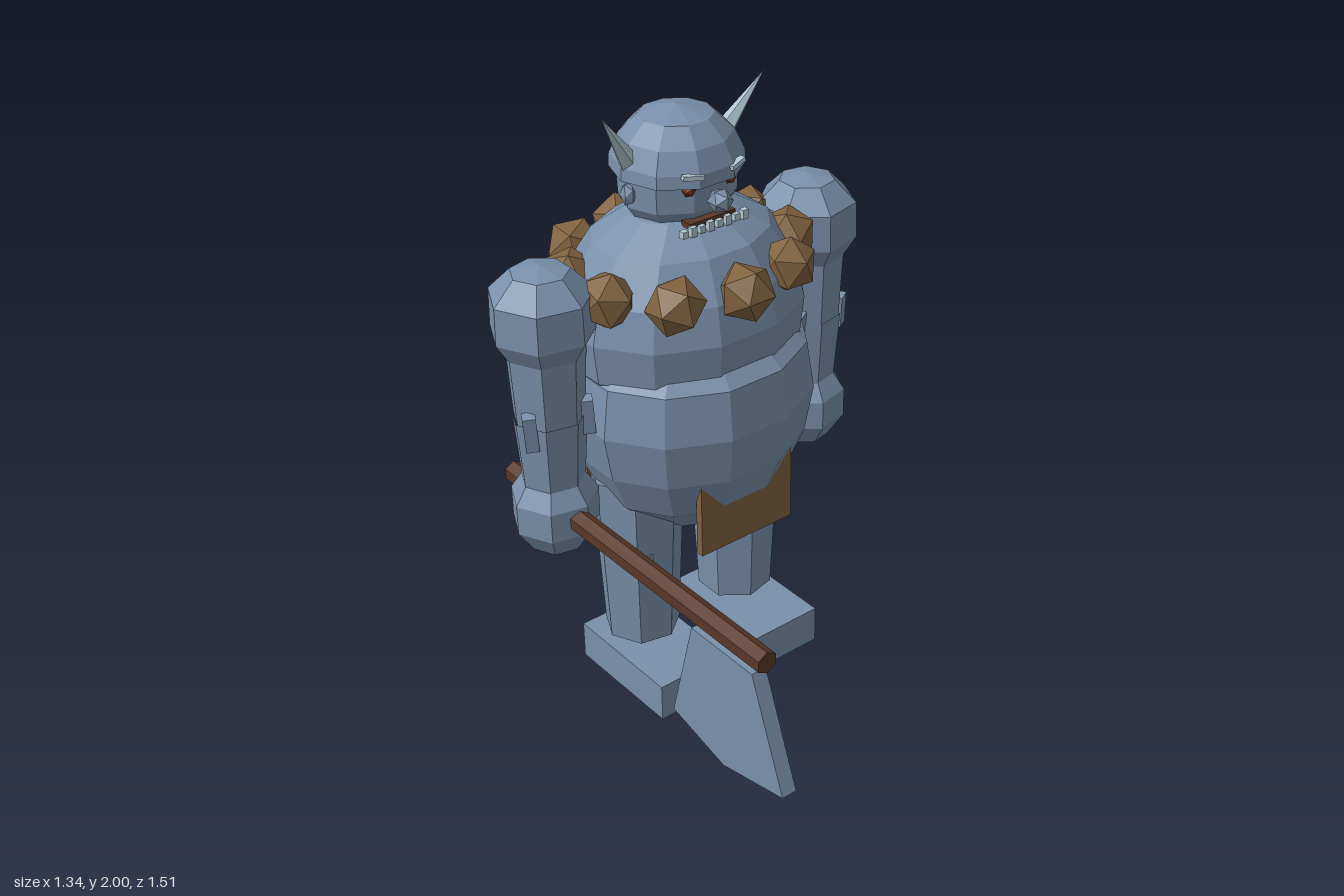
import * as THREE from 'three';

const mat = (name, color) => {
  const m = new THREE.MeshStandardMaterial({ color, flatShading: true });
  m.name = name;
  return m;
};

export function createModel() {
  const root = new THREE.Group();
  root.name = 'hornedBrute';
  const skin = mat('slate blue', 0x7990ab);
  const hide = mat('tan brown', 0x80623f);
  const wood = mat('dark brown', 0x5a3828);
  const bone = mat('pale bone', 0xb2c9d2);
  const red = mat('eye red', 0x7a3218);

  const add = (name, geo, material, x = 0, y = 0, z = 0, parent = root) => {
    const m = new THREE.Mesh(geo, material);
    m.name = name;
    m.position.set(x, y, z);
    parent.add(m);
    return m;
  };
  // Faceted round form from a radius/height profile, squashed in z
  const turned = (name, pts, sides, z, depth) => {
    const geo = new THREE.LatheGeometry(pts.map(p => new THREE.Vector2(...p)), sides);
    geo.rotateY(Math.PI / sides);
    geo.scale(1, 1, depth);
    return add(name, geo, skin, 0, 0, z);
  };
  const box = (w, h, d) => new THREE.BoxGeometry(w, h, d);

  // Torso: two overlapping bulges
  turned('belly', [[0, 0.565], [0.17, 0.6], [0.32, 0.73], [0.385, 0.87], [0.415, 1.03],
    [0.39, 1.19], [0.28, 1.28]], 12, -0.325, 0.85);
  turned('chest', [[0.34, 1.12], [0.395, 1.2], [0.41, 1.33], [0.38, 1.45], [0.295, 1.57],
    [0.17, 1.645], [0, 1.67]], 12, -0.36, 0.82);

  // Head and rounded cap
  turned('face', [[0, 1.62], [0.15, 1.63], [0.185, 1.68], [0.19, 1.79]], 10, -0.37, 0.88);
  turned('cap', [[0.17, 1.765], [0.205, 1.77], [0.202, 1.81], [0.172, 1.875], [0.115, 1.93], [0, 1.96]], 10, -0.37, 0.98);
  const nose = add('nose', new THREE.IcosahedronGeometry(0.038, 0), skin, 0, 1.72, -0.168);
  nose.scale.z = 1.1;
  add('mouth', box(0.17, 0.018, 0.04), wood, 0, 1.648, -0.222);
  for (let i = 0; i < 8; i++) {
    add('tooth', box(0.02, 0.022 + 0.008 * (i % 2), 0.02), bone, -0.112 + i * 0.032, 1.636, -0.197);
  }

  // Necklace of ten chunky beads
  for (let i = 0; i < 10; i++) {
    const a = Math.PI / 2 + i * Math.PI / 5;
    const bead = add('necklaceBead', new THREE.IcosahedronGeometry(0.093, 0), hide,
      0.36 * Math.cos(a), 1.47, -0.365 + 0.312 * Math.sin(a));
    bead.rotation.set(i * 0.7, -a, i * 0.4);
  }

  // Mirrored parts
  for (const s of [1, -1]) {
    const side = s > 0 ? 'left' : 'right';

    const base = new THREE.Vector3(s * 0.17, 1.815, -0.372);
    const tip = new THREE.Vector3(s * 0.295, 2.0, -0.325);
    const dir = tip.clone().sub(base);
    const horn = add(side + 'Horn', new THREE.ConeGeometry(0.034, dir.length(), 5), bone);
    horn.position.copy(base).lerp(tip, 0.5);
    horn.quaternion.setFromUnitVectors(new THREE.Vector3(0, 1, 0), dir.normalize());

    const ear = add(side + 'Ear', new THREE.IcosahedronGeometry(0.035, 0), skin, s * 0.188, 1.728, -0.36);
    ear.scale.set(0.7, 1.1, 0.8);
    add(side + 'Eye', new THREE.IcosahedronGeometry(0.021, 0), red, s * 0.075, 1.756, -0.218);
    const brow = add(side + 'Brow', box(0.065, 0.014, 0.02), bone, s * 0.08, 1.808, -0.19);
    brow.rotation.set(0, s * 0.3, s * 0.12);

    // Arm: shoulder ball, tapered limb, fist
    const arm = new THREE.Group();
    arm.name = side + 'Arm';
    arm.position.set(s * 0.505, 0, -0.365);
    root.add(arm);
    const ball = (name, y, pts) => {
      const g = new THREE.LatheGeometry(pts.map(p => new THREE.Vector2(...p)), 7);
      g.rotateY(s * Math.PI / 2);
      return add(name, g, skin, 0, y, 0, arm);
    };
    ball('shoulder', 1.44, [[0, -0.14], [0.115, -0.13], [0.163, -0.05], [0.16, 0.07], [0.09, 0.14], [0, 0.158]]);
    ball('upperArm', 1.1, [[0.112, 0], [0.125, 0.26]]);
    ball('forearm', 0.85, [[0.098, 0], [0.118, 0.26]]);
    ball('fist', 0.775, [[0, -0.15], [0.085, -0.13], [0.138, -0.05], [0.138, 0.05], [0.095, 0.115], [0, 0.14]]);
    for (const [x, z] of [[0.1, 0.05], [-0.09, 0.07], [0, -0.11]]) {
      const fold = add('elbowFold', box(0.04, 0.12, 0.04), skin, s * x, 1.1, z, arm);
      fold.rotation.set(0.1, s * 0.5, 0.1);
    }

    // Leg and separate block foot
    const leg = add(side + 'Leg', new THREE.CylinderGeometry(0.155, 0.125, 0.61, 7), skin, s * 0.197, 0.483, -0.36);
    leg.rotation.y = s * Math.PI / 2;
    const fold = add(side + 'LegFold', box(0.025, 0.09, 0.03), skin, s * 0.25, 0.49, -0.248);
    fold.rotation.z = s * 0.15;
    add(side + 'Foot', box(0.268, 0.132, 0.435), skin, s * 0.194, 0.068, -0.302);
  }

  // Loincloth panels with a dipped top edge
  const cloth = (name, z, top, x) => {
    const sh = new THREE.Shape();
    sh.moveTo(-0.18, 0.6);
    sh.lineTo(0.18, 0.6);
    sh.lineTo(0.18, top);
    sh.lineTo(0.12, top - 0.06);
    sh.lineTo(-0.12, top - 0.06);
    sh.lineTo(-0.18, top);
    add(name, new THREE.ExtrudeGeometry(sh, { depth: 0.026, bevelEnabled: false }), hide, x, 0, z);
  };
  cloth('frontLoincloth', -0.08, 0.88, 0.004);
  cloth('backLoincloth', -0.678, 0.955, -0.01);

  // Small studs on the back of the waist
  for (const [x, z] of [[-0.22, -0.6], [0, -0.65], [0.22, -0.6]]) {
    add('waistStud', new THREE.ConeGeometry(0.042, 0.085, 5), wood, x, 0.925, z);
  }

  // Axe held forward in the right fist
  const axe = new THREE.Group();
  axe.name = 'axe';
  axe.position.x = -0.5;
  root.add(axe);
  const handle = new THREE.CylinderGeometry(0.036, 0.036, 1.247, 6);
  handle.rotateX(Math.PI / 2);
  add('axeHandle', handle, wood, 0, 0.78, 0.022, axe);
  const blade = new THREE.Shape([[0.61, 0.73], [0.34, 0.73], [0.245, 0.37], [0.48, 0.31], [0.745, 0.37]]
    .map(([z, y]) => new THREE.Vector2(-z, y)));
  const bladeGeo = new THREE.ExtrudeGeometry(blade, { depth: 0.05, bevelEnabled: false });
  bladeGeo.rotateY(Math.PI / 2);
  add('axeBlade', bladeGeo, skin, -0.025, 0, 0, axe);

  return root;
}
